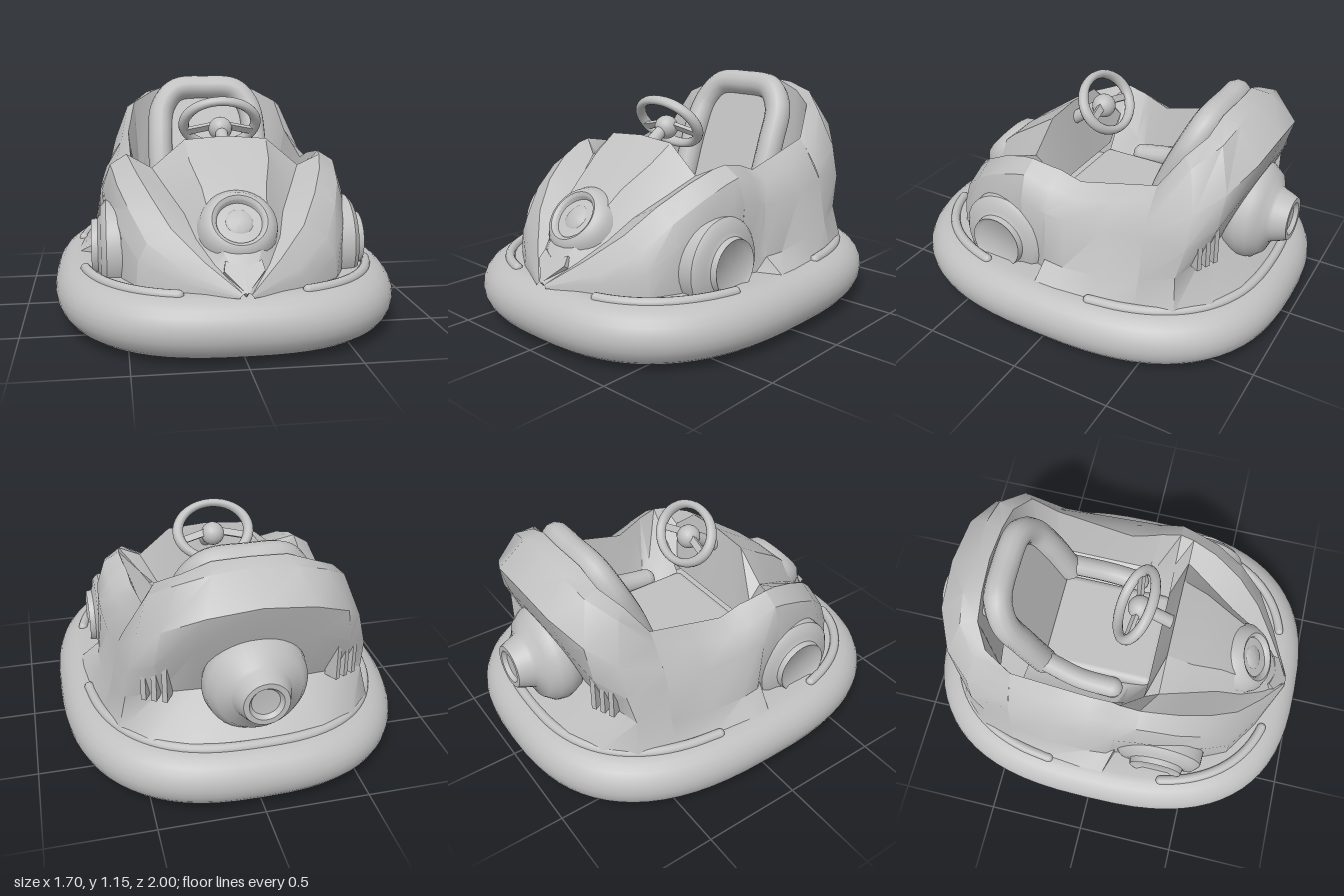
import * as THREE from 'three';
import { toCreasedNormals } from 'three/addons/utils/BufferGeometryUtils.js';
import { RoundedBoxGeometry } from 'three/addons/geometries/RoundedBoxGeometry.js';

const V = (x, y, z) => new THREE.Vector3(x, y, z);
const grey = new THREE.MeshStandardMaterial({ color: 0xc0c0c0, side: THREE.DoubleSide });
grey.name = 'plain grey';

function part(parent, name, geometry, x = 0, y = 0, z = 0, rx = 0, ry = 0, rz = 0) {
  const mesh = new THREE.Mesh(geometry, grey);
  mesh.name = name;
  mesh.position.set(x, y, z);
  mesh.rotation.set(rx, ry, rz);
  parent.add(mesh);
  return mesh;
}

// Skin a list of equal-length cross-sections
function loft(rows, crease = 0.6) {
  const n = rows[0].length, index = [];
  for (let i = 0; i < rows.length - 1; i++) {
    for (let j = 0; j < n - 1; j++) {
      const a = i * n + j, b = a + 1, c = a + n, d = c + 1;
      index.push(a, b, c, b, d, c);
    }
  }
  const g = new THREE.BufferGeometry().setFromPoints(rows.flat());
  g.setIndex(index);
  return toCreasedNormals(g, crease);
}

// Full section from [z, x0,y0, x1,y1 ...] running from the centre line outward
function section([z, ...xy]) {
  const half = [];
  for (let i = 0; i < xy.length; i += 2) half.push(V(xy[i], xy[i + 1], z));
  const left = half.slice(1).reverse().map(p => V(-p.x, p.y, p.z));
  return [...left, ...half];
}

// Rounded plan outline of the bumper, pulled in by an inset
function outline(t, inset, y) {
  const c = Math.cos(t), s = Math.sin(t);
  return V(Math.sign(c) * Math.abs(c) ** 0.76 * (0.848 - inset), y,
    -Math.sign(s) * Math.abs(s) ** 0.76 * (1 - inset));
}

function tube(points, radius, segments = 48) {
  return new THREE.TubeGeometry(new THREE.CatmullRomCurve3(points), segments, radius, 12);
}

function lathe(profile, crease) {
  return toCreasedNormals(new THREE.LatheGeometry(profile.map(p => new THREE.Vector2(...p)), 36), crease);
}

export function createModel() {
  const model = new THREE.Group();
  model.name = 'bumperCar';

  // Bumper: flat underside, round edge and closed deck
  const profile = [[0.848, 0], [0.2, 0.005], [0.15, 0.01]];
  for (let i = 0; i <= 12; i++) {
    const a = -Math.PI / 2 + i * Math.PI / 12;
    profile.push([0.14 - 0.14 * Math.cos(a), 0.15 + 0.14 * Math.sin(a)]);
  }
  profile.push([0.2, 0.285], [0.848, 0.285]);
  part(model, 'bumper', loft(profile.map(([inset, y]) => {
    const ring = [];
    for (let i = 0; i <= 72; i++) ring.push(outline(i / 72 * Math.PI * 2, inset, y));
    return ring;
  })));

  // Trim rails lying on the bumper
  const rail = (name, from, to) => {
    const pts = [];
    for (let i = 0; i <= 16; i++) pts.push(outline(from + (to - from) * i / 16, 0.13, 0.288));
    part(model, name, tube(pts, 0.024));
    for (const p of [pts[0], pts[16]]) part(model, name + 'End', new THREE.SphereGeometry(0.024, 12, 8), p.x, p.y, p.z);
  };
  rail('rearRail', 0.18, Math.PI - 0.18);
  rail('frontRailLeft', -0.33, -1.27);
  rail('frontRailRight', Math.PI + 0.33, Math.PI + 1.27);

  // Hood and fenders: centre, panel edge, valley, fender ridge, shoulder, side, base
  const hood = [
    [0.92, 0, 0.31, 0.01, 0.308, 0.015, 0.305, 0.02, 0.30, 0.025, 0.295, 0.03, 0.29, 0.03, 0.285],
    [0.8, 0, 0.46, 0.08, 0.45, 0.12, 0.40, 0.17, 0.42, 0.25, 0.37, 0.27, 0.33, 0.28, 0.285],
    [0.68, 0, 0.60, 0.13, 0.59, 0.19, 0.49, 0.30, 0.54, 0.41, 0.48, 0.45, 0.40, 0.46, 0.285],
    [0.55, 0, 0.71, 0.15, 0.70, 0.23, 0.58, 0.38, 0.66, 0.48, 0.60, 0.52, 0.50, 0.52, 0.285],
    [0.4, 0, 0.81, 0.19, 0.80, 0.30, 0.67, 0.44, 0.75, 0.53, 0.69, 0.56, 0.59, 0.54, 0.285],
    [0.27, 0, 0.9, 0.20, 0.885, 0.36, 0.75, 0.47, 0.80, 0.55, 0.74, 0.59, 0.62, 0.56, 0.285],
    [0.2, 0, 0.55, 0.25, 0.55, 0.37, 0.68, 0.48, 0.81, 0.56, 0.76, 0.60, 0.64, 0.57, 0.285],
  ];
  part(model, 'hoodAndFenders', loft(hood.map(section), 0.45));

  // Cockpit tub: floor, inner wall, rim, shoulder, outer side, base
  const tub = [
    [0.2, 0, 0.50, 0.25, 0.50, 0.37, 0.68, 0.48, 0.81, 0.56, 0.76, 0.60, 0.64, 0.58, 0.36, 0.57, 0.285],
    [0.1, 0, 0.46, 0.28, 0.46, 0.39, 0.55, 0.47, 0.79, 0.56, 0.73, 0.61, 0.62, 0.60, 0.36, 0.60, 0.285],
    [0.06, 0, 0.45, 0.30, 0.45, 0.40, 0.50, 0.46, 0.78, 0.55, 0.72, 0.61, 0.62, 0.63, 0.36, 0.72, 0.29],
    [-0.05, 0, 0.45, 0.30, 0.45, 0.40, 0.50, 0.45, 0.74, 0.54, 0.69, 0.61, 0.61, 0.64, 0.36, 0.72, 0.29],
    [-0.25, 0, 0.45, 0.30, 0.45, 0.40, 0.50, 0.45, 0.79, 0.52, 0.72, 0.60, 0.61, 0.64, 0.38, 0.70, 0.29],
    [-0.45, 0, 0.45, 0.30, 0.45, 0.40, 0.50, 0.45, 0.84, 0.49, 0.79, 0.58, 0.64, 0.62, 0.42, 0.66, 0.29],
  ];
  part(model, 'cockpitTub', loft(tub.map(section), 0.7));

  // Back shell wrapping round behind the seat: inside, rim, top edge, bulge, lower lip, tuck, base
  const shell = [
    [V(.4, .5, -.45), V(.45, .84, -.45), V(.49, .79, -.45), V(.55, .7, -.45), V(.58, .64, -.45), V(.62, .42, -.45), V(.66, .29, -.45)],
    [V(.38, .5, -.54), V(.41, 1.0, -.56), V(.45, .97, -.61), V(.52, .78, -.66), V(.56, .62, -.65), V(.57, .46, -.61), V(.61, .29, -.63)],
    [V(.33, .5, -.58), V(.30, 1.06, -.62), V(.33, 1.05, -.7), V(.42, .87, -.77), V(.45, .7, -.75), V(.42, .5, -.67), V(.48, .29, -.77)],
    [V(.2, .5, -.6), V(.17, 1.11, -.63), V(.19, 1.09, -.72), V(.24, .95, -.84), V(.27, .78, -.79), V(.25, .5, -.68), V(.3, .29, -.85)],
    [V(0, .5, -.6), V(0, 1.12, -.64), V(0, 1.1, -.71), V(0, .98, -.855), V(0, .82, -.81), V(0, .5, -.68), V(0, .29, -.87)],
  ];
  const otherSide = shell.slice(0, -1).reverse().map(r => r.map(p => V(-p.x, p.y, p.z)));
  part(model, 'backShell', loft([...shell, ...otherSide], 0.7));

  // Nose beak: small chevron folded over the tip
  const beak = new THREE.Shape([[0, 0], [0.09, 0.11], [0.08, 0.16], [0, 0.12], [-0.08, 0.16], [-0.09, 0.11]]
    .map(p => new THREE.Vector2(...p)));
  part(model, 'noseBeak', new THREE.ExtrudeGeometry(beak, { depth: 0.03, bevelEnabled: false }), 0, 0.285, 0.9, -0.67);

  // Round lamp sunk into the hood
  const lamp = [[0.185, -0.06], [0.175, -0.015], [0.145, 0.02], [0.125, 0.028], [0.108, 0.018], [0.098, -0.01],
    [0.075, -0.012], [0.068, 0.0], [0.05, 0.012], [0, 0.016]];
  part(model, 'lamp', lathe(lamp, 0.7), 0, 0.565, 0.7, 0.87);

  // Front wheels with raised hubs
  const wheel = [[0.23, -0.14], [0.225, -0.035], [0.2, -0.01], [0.16, -0.005], [0.14, 0.005], [0.135, 0.035],
    [0.115, 0.02], [0, 0.02]];
  for (const s of [1, -1]) {
    part(model, s > 0 ? 'wheelLeft' : 'wheelRight', lathe(wheel, 0.7), s * 0.622, 0.38, 0.33, 0, 0, -s * Math.PI / 2);
  }

  // Seat: cushion, backrest and padded bolsters
  part(model, 'seatCushion', new RoundedBoxGeometry(0.52, 0.12, 0.64, 3, 0.04), 0, 0.46, -0.1);
  part(model, 'seatBack', new RoundedBoxGeometry(0.5, 0.6, 0.1, 3, 0.04), 0, 0.765, -0.5, -0.35);
  const hoop = [V(.27, .56, -.35), V(.27, .8, -.44), V(.25, .97, -.52), V(.17, 1.065, -.56), V(0, 1.08, -.57)];
  const hoopRight = hoop.slice(0, -1).reverse().map(p => V(-p.x, p.y, p.z));
  part(model, 'backrestBolster', tube([...hoop, ...hoopRight], 0.068, 64));
  for (const s of [1, -1]) {
    const path = [V(s * .31, .5, .02), V(s * .31, .53, -.15), V(s * .28, .6, -.34)];
    part(model, 'cushionBolster', tube(path, 0.055, 20));
    part(model, 'cushionBolsterEnd', new THREE.SphereGeometry(0.055, 14, 10), s * .31, .5, .02);
  }

  // Steering wheel; local +z points at the driver
  const steering = new THREE.Group();
  steering.name = 'steering';
  steering.position.set(0, 0.94, 0.07);
  steering.rotation.x = Math.PI + 0.607;
  model.add(steering);
  part(steering, 'steeringRim', new THREE.TorusGeometry(0.185, 0.027, 12, 40)).scale.y = 0.78;
  part(steering, 'steeringHub', new THREE.SphereGeometry(0.06, 20, 14), 0, 0.01, -0.03);
  part(steering, 'steeringColumn', new THREE.CylinderGeometry(0.03, 0.035, 0.28, 16), 0, 0, -0.15, Math.PI / 2);
  for (const s of [1, -1]) {
    part(steering, 'steeringSpoke', new THREE.BoxGeometry(0.16, 0.035, 0.02), s * 0.1, 0.02, -0.015, 0, 0, s * 0.25);
  }

  // Rear motor pod: large dome with a short tapered nozzle
  const pod = [[0.17, 0], [0.23, 0.06], [0.245, 0.12], [0.235, 0.17], [0.2, 0.215], [0.14, 0.24], [0.132, 0.255],
    [0.12, 0.29], [0.105, 0.325], [0.08, 0.325], [0.065, 0.305], [0, 0.3]];
  part(model, 'motorPod', lathe(pod, 0.8), 0, 0.565, -0.63, -Math.PI / 2);

  // Upright vent bars beside the motor, set between lip and base
  for (const s of [1, -1]) {
    for (let i = 0; i < 3; i++) {
      part(model, 'ventBar', new THREE.BoxGeometry(0.024, 0.2, 0.07), s * (0.39 + i * 0.045), 0.59, -0.705 + i * 0.02, 0, -s * 0.5);
    }
  }
  return model;
}
